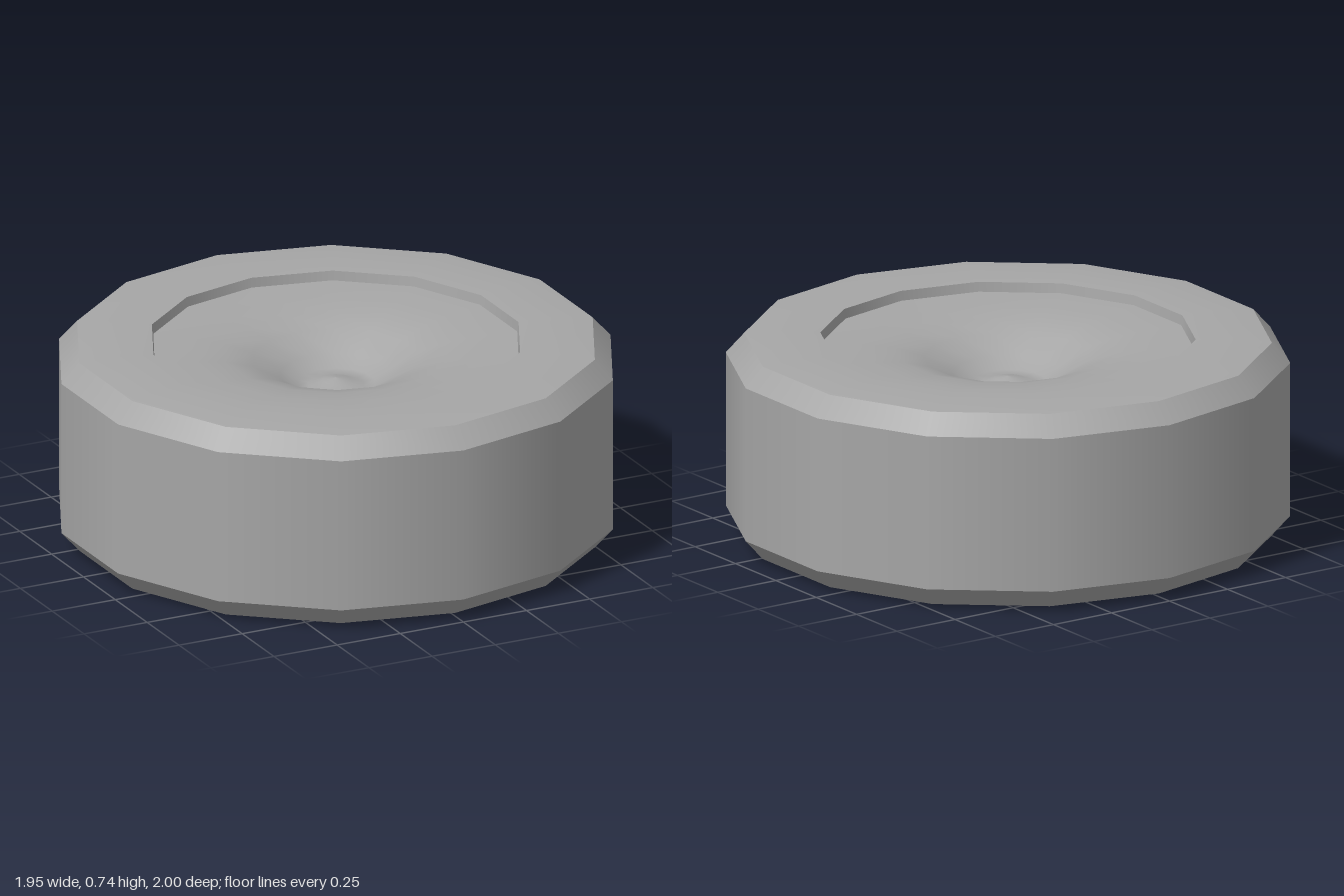
import * as THREE from 'three';

const SIDES = 14;

export function createModel() {
  const group = new THREE.Group();
  group.name = 'wheel';
  const grey = new THREE.MeshStandardMaterial({ color: 0xa6a6a6, side: THREE.DoubleSide });
  grey.name = 'plain grey';

  // Each band is smooth within itself and meets its neighbours at a sharp edge.
  const band = (name, profile) => {
    const points = profile.map(([r, y]) => new THREE.Vector2(r, y));
    const mesh = new THREE.Mesh(new THREE.LatheGeometry(points, SIDES), grey);
    mesh.name = name;
    group.add(mesh);
  };

  // Open hollow shell, listed from the bottom opening up and over to the hub
  band('bottomSidewall', [[0.665, 0.005], [0.8, 0], [0.935, 0.012]]);
  band('bottomChamfer', [[0.935, 0.012], [1, 0.085]]);
  band('tread', [[1, 0.085], [1, 0.65]]);
  band('topChamfer', [[1, 0.65], [0.935, 0.723]]);
  band('topSidewall', [[0.935, 0.723], [0.8, 0.735], [0.665, 0.73]]);
  band('rimLip', [[0.665, 0.73], [0.66, 0.695]]);

  // Dished hub cap with a small raised centre
  band('hubDish', [
    [0.66, 0.695], [0.52, 0.69], [0.4, 0.677], [0.3, 0.65], [0.2, 0.595],
    [0.14, 0.562], [0.1, 0.556], [0.05, 0.575], [0, 0.583],
  ]);
  return group;
}
